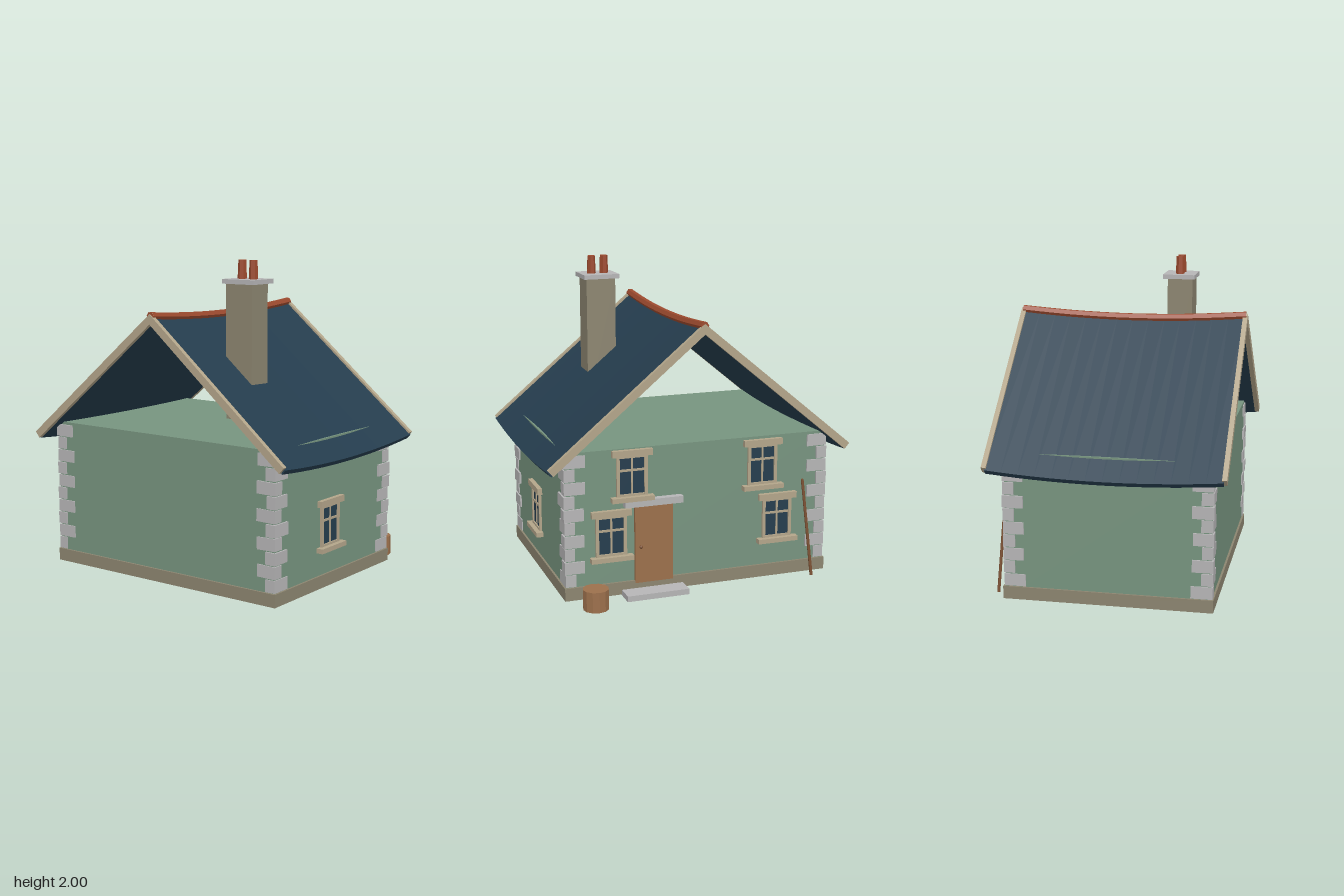
import * as THREE from 'three';

const mat = (name, color) => {
  const m = new THREE.MeshStandardMaterial({ color });
  m.name = name;
  m.flatShading = true;
  return m;
};

export function createModel() {
  const house = new THREE.Group();
  house.name = 'cottage';
  const wall = mat('sage wall', 0x77947f);
  const slate = mat('dark slate', 0x253d4e);
  const trim = mat('pale timber', 0xb3a58a);
  const stone = mat('brown stone', 0x8c8570);
  const quoin = mat('light stone', 0xb6b5b6);
  const clay = mat('red clay', 0x9c4a2e);
  const wood = mat('wood', 0x9c704c);
  const darkWood = mat('dark wood', 0x7d5234);

  let seed = 7;
  const jitter = (a) => {
    seed = (seed * 16807) % 2147483647;
    return (seed / 2147483647 - 0.5) * 2 * a;
  };
  const add = (parent, name, geo, material, x = 0, y = 0, z = 0) => {
    const m = new THREE.Mesh(geo, material);
    m.name = name;
    m.position.set(x, y, z);
    parent.add(m);
    return m;
  };
  // Box given by its lower and upper limits
  const box = (parent, name, material, x0, x1, y0, y1, z0, z1) =>
    add(parent, name, new THREE.BoxGeometry(x1 - x0, y1 - y0, z1 - z0), material,
      (x0 + x1) / 2, (y0 + y1) / 2, (z0 + z1) / 2);

  // Walls and plinth
  box(house, 'walls', wall, -0.855, 0.855, 0.007, 0.937, -0.565, 0.705);
  box(house, 'plinth', stone, -0.868, 0.868, 0.01, 0.09, -0.58, 0.718);

  // Corner stones, long and short in turn
  for (const sx of [-1, 1]) for (const front of [true, false]) {
    const corner = new THREE.Group();
    corner.name = 'cornerStones';
    for (let i = 0; i < 10; i++) {
      const odd = i % 2 === 1;
      const w = (odd ? 0.13 : 0.065) + jitter(0.005);
      const d = (odd ? 0.07 : 0.13) + jitter(0.005);
      const out = jitter(0.004);
      const x = sx * (0.865 + out - w / 2);
      const z = front ? 0.715 + out - d / 2 : -0.575 - out + d / 2;
      const s = add(corner, 'cornerStone', new THREE.BoxGeometry(w, 0.076, d), quoin, x, 0.132 + i * 0.0833, z);
      s.rotation.z = jitter(0.025);
    }
    house.add(corner);
  }

  // Sagging roof, gable boards and ridge
  const zA = -0.65, zB = 0.78, slope = 0.832;
  const sag = (z) => {
    const u = (2 * z - zA - zB) / (zB - zA);
    return 0.033 * Math.max(0, 1 - u * u);
  };
  const chevron = (top, t, z0, z1, steps) => {
    const ex = 0.98, ey = top - ex * slope;
    const s = new THREE.Shape();
    s.moveTo(0, top);
    s.lineTo(-ex, ey);
    s.lineTo(-ex + 0.49 * t, ey - 0.59 * t);
    s.lineTo(0, top - t);
    s.lineTo(ex - 0.49 * t, ey - 0.59 * t);
    s.lineTo(ex, ey);
    s.closePath();
    const g = new THREE.ExtrudeGeometry(s, { depth: z1 - z0, steps, bevelEnabled: false });
    g.translate(0, 0, z0);
    return g;
  };
  const roof = chevron(1.67, 0.046, zA, zB, 14);
  const p = roof.attributes.position;
  for (let i = 0; i < p.count; i++) p.setY(i, p.getY(i) - sag(p.getZ(i)));
  roof.computeVertexNormals();
  add(house, 'roof', roof, slate);
  add(house, 'frontGableBoard', chevron(1.685, 0.062, 0.77, 0.8, 1), trim);
  add(house, 'backGableBoard', chevron(1.685, 0.062, -0.67, -0.64, 1), trim);

  const ridgePoints = [];
  for (let i = 0; i <= 10; i++) {
    const z = -0.66 + 1.452 * i / 10;
    ridgePoints.push(new THREE.Vector3(0, 1.673 - sag(z), z));
  }
  const ridgeCurve = new THREE.CatmullRomCurve3(ridgePoints);
  add(house, 'ridgeTiles', new THREE.TubeGeometry(ridgeCurve, 14, 0.027, 6), clay);
  for (const e of [0, 10]) {
    const cap = add(house, 'ridgeEnd', new THREE.CircleGeometry(0.027, 6), clay);
    cap.position.copy(ridgePoints[e]);
    if (e === 0) cap.rotation.y = Math.PI;
  }

  // Chimney with cap and pots
  box(house, 'chimneyStack', stone, 0.277, 0.47, 1.03, 1.86, 0.242, 0.405);
  box(house, 'chimneyCap', quoin, 0.258, 0.492, 1.858, 1.886, 0.212, 0.422);
  for (const x of [0.333, 0.417])
    add(house, 'chimneyPot', new THREE.CylinderGeometry(0.025, 0.03, 0.118, 7), clay, x, 1.941, 0.315);

  // Windows with a cross bar, lintel and sill
  const windowAt = (name, x, y, z, turn) => {
    const g = new THREE.Group();
    g.name = name;
    box(g, 'glass', slate, -0.09, 0.09, 0.265, 0.525, 0.0, 0.006);
    for (const s of [-1, 1])
      box(g, 'frameSide', trim, s * 0.089 - 0.01, s * 0.089 + 0.01, 0.265, 0.525, 0, 0.016);
    box(g, 'frameBottom', trim, -0.09, 0.09, 0.265, 0.282, 0, 0.015);
    box(g, 'frameTop', trim, -0.09, 0.09, 0.508, 0.525, 0, 0.015);
    box(g, 'uprightBar', trim, -0.006, 0.006, 0.275, 0.52, 0, 0.012);
    box(g, 'crossBar', trim, -0.09, 0.09, 0.424, 0.438, 0, 0.013);
    box(g, 'lintel', trim, -0.128, 0.128, 0.52, 0.56, -0.01, 0.03);
    box(g, 'sill', trim, -0.135, 0.135, 0.238, 0.268, -0.01, 0.045);
    g.position.set(x, y, z);
    g.rotation.y = turn;
    house.add(g);
  };
  windowAt('sideWindow', 0.855, 0, 0.125, Math.PI / 2);
  windowAt('lowerWindowLeft', 0.57, 0, -0.565, Math.PI);
  windowAt('lowerWindowRight', -0.53, 0, -0.565, Math.PI);
  windowAt('upperWindowLeft', 0.435, 0.37, -0.565, Math.PI);
  windowAt('upperWindowRight', -0.425, 0.36, -0.565, Math.PI);

  // Door with lintel, knob and step
  box(house, 'door', wood, 0.175, 0.42, 0.075, 0.575, -0.586, -0.55);
  box(house, 'doorLintel', quoin, 0.115, 0.49, 0.572, 0.615, -0.61, -0.55);
  add(house, 'doorKnob', new THREE.SphereGeometry(0.012, 8, 6), darkWood, 0.385, 0.31, -0.595);
  box(house, 'doorStep', quoin, 0.108, 0.507, 0.004, 0.04, -0.7, -0.57);

  // Barrel and leaning pole
  add(house, 'barrel', new THREE.CylinderGeometry(0.08, 0.08, 0.128, 12), wood, 0.715, 0.064, -0.72);
  const foot = new THREE.Vector3(-0.75, 0.003, -0.645), tip = new THREE.Vector3(-0.69, 0.64, -0.603);
  const dir = tip.clone().sub(foot);
  const pole = add(house, 'leaningPole', new THREE.CylinderGeometry(0.009, 0.01, dir.length(), 6), darkWood);
  pole.position.copy(foot).addScaledVector(dir, 0.5);
  pole.quaternion.setFromUnitVectors(new THREE.Vector3(0, 1, 0), dir.normalize());

  return house;
}
